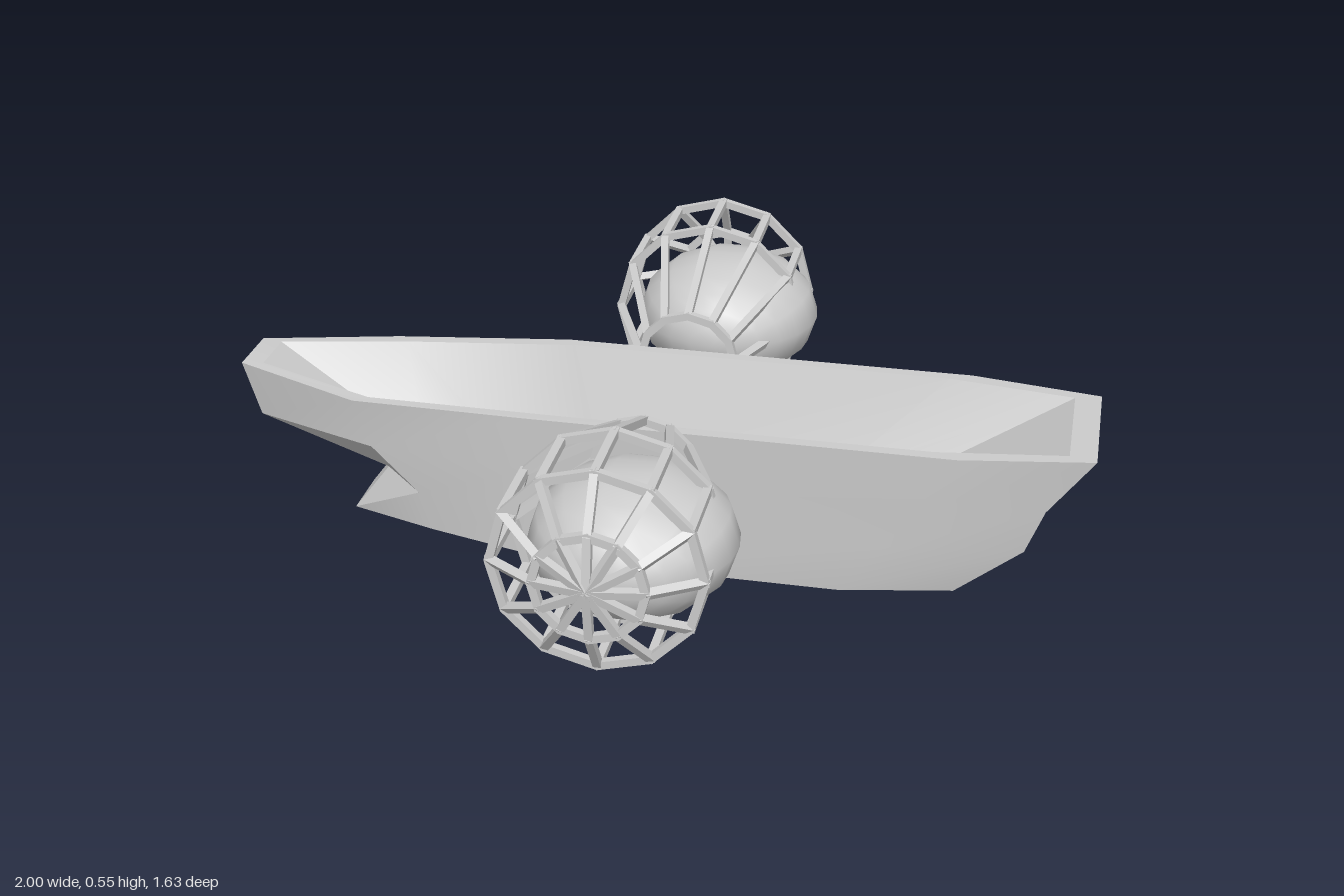
import * as THREE from 'three';
import { mergeGeometries, toCreasedNormals } from 'three/addons/utils/BufferGeometryUtils.js';

const material = new THREE.MeshStandardMaterial({ color: 0xcccccc });
const CENTRE_Z = 0.01;

// Each level lists five stations from bow to stern: [x, y, half width].
const hullLevels = [
  [[-0.74, 0, 0.07], [-0.51, 0.025, 0.18], [-0.23, 0, 0.215], [0.45, 0, 0.215], [0.71, 0, 0.165]],
  [[-0.65, 0.12, 0.07], [-0.54, 0.12, 0.18], [-0.24, 0.12, 0.215], [0.55, 0.12, 0.215], [0.86, 0.12, 0.165]],
  [[-0.96, 0.23, 0.07], [-0.65, 0.23, 0.18], [-0.26, 0.23, 0.215], [0.62, 0.23, 0.215], [0.9, 0.225, 0.165]],
  [[-1, 0.36, 0.07], [-0.69, 0.345, 0.18], [-0.27, 0.36, 0.215], [0.7, 0.36, 0.215], [1, 0.36, 0.165]],
  [[-0.95, 0.36, 0.06], [-0.66, 0.345, 0.155], [-0.25, 0.36, 0.187], [0.65, 0.36, 0.187], [0.94, 0.36, 0.145]],
  [[-0.59, 0.12, 0.037], [-0.42, 0.12, 0.1], [-0.18, 0.12, 0.113], [0.4, 0.12, 0.113], [0.54, 0.12, 0.083]],
];

// Lofts the levels as closed rings: outside, rim, inside, then bottom and deck caps.
function hullGeometry() {
  const positions = [], index = [], n = 5, ring = n * 2;
  for (const level of hullLevels) {
    for (const [x, y, w] of level) positions.push(x, y, CENTRE_Z + w);
    for (const [x, y, w] of [...level].reverse()) positions.push(x, y, CENTRE_Z - w);
  }
  for (let l = 0; l < hullLevels.length - 1; l++) {
    for (let i = 0; i < ring; i++) {
      const a = l * ring + i, b = l * ring + (i + 1) % ring;
      index.push(a, b, b + ring, a, b + ring, a + ring);
    }
  }
  const deck = (hullLevels.length - 1) * ring;
  for (let i = 0; i < n - 1; i++) {
    const p = i, q = i + 1, r = ring - 2 - i, s = ring - 1 - i;
    index.push(deck + p, deck + q, deck + r, deck + p, deck + r, deck + s);
    index.push(p, r, q, p, s, r);
  }
  const geometry = new THREE.BufferGeometry();
  geometry.setAttribute('position', new THREE.Float32BufferAttribute(positions, 3));
  geometry.setIndex(index);
  return toCreasedNormals(geometry, 0.5);
}

// Square bar between two points.
function bar(a, b) {
  const dir = b.clone().sub(a);
  const geometry = new THREE.BoxGeometry(0.018, dir.length() + 0.008, 0.018);
  const turn = new THREE.Quaternion().setFromUnitVectors(new THREE.Vector3(0, 1, 0), dir.normalize());
  geometry.applyQuaternion(turn);
  const mid = a.clone().add(b).multiplyScalar(0.5);
  return geometry.translate(mid.x, mid.y, mid.z);
}

// Twelve-sided basket around the z axis: [radius, distance from the hull centre].
const cageProfile = [[0.115, 0.25], [0.228, 0.53], [0.228, 0.713], [0.12, 0.782], [0, 0.802]];

function cageGeometry(side) {
  const sides = 12, bars = [];
  const point = (i, k) => {
    const [r, z] = cageProfile[k], t = i / sides * Math.PI * 2;
    return new THREE.Vector3(r * Math.cos(t), r * Math.sin(t), side * z);
  };
  for (let i = 0; i < sides; i++) {
    for (let k = 0; k < cageProfile.length - 1; k++) {
      bars.push(bar(point(i, k), point(i, k + 1)));
      bars.push(bar(point(i, k), point(i + 1, k)));
    }
  }
  return mergeGeometries(bars);
}

function addMesh(parent, name, geometry) {
  const mesh = new THREE.Mesh(geometry, material);
  mesh.name = name;
  parent.add(mesh);
  return mesh;
}

export function createModel() {
  const model = new THREE.Group();
  model.name = 'boatWithCagedFloats';
  addMesh(model, 'hull', hullGeometry());

  // One caged float on each side, the rear one slightly higher
  for (const [side, y, name] of [[1, 0.283, 'front'], [-1, 0.315, 'rear']]) {
    const pod = new THREE.Group();
    pod.name = name + 'Pod';
    pod.position.set(0.012, y, 0);
    addMesh(pod, name + 'Cage', cageGeometry(side));
    const ball = new THREE.SphereGeometry(1, 14, 12).rotateX(Math.PI / 2).scale(0.226, 0.157, 0.226);
    addMesh(pod, name + 'Float', ball).position.set(0.045, 0, side * 0.557);
    model.add(pod);
  }
  return model;
}
